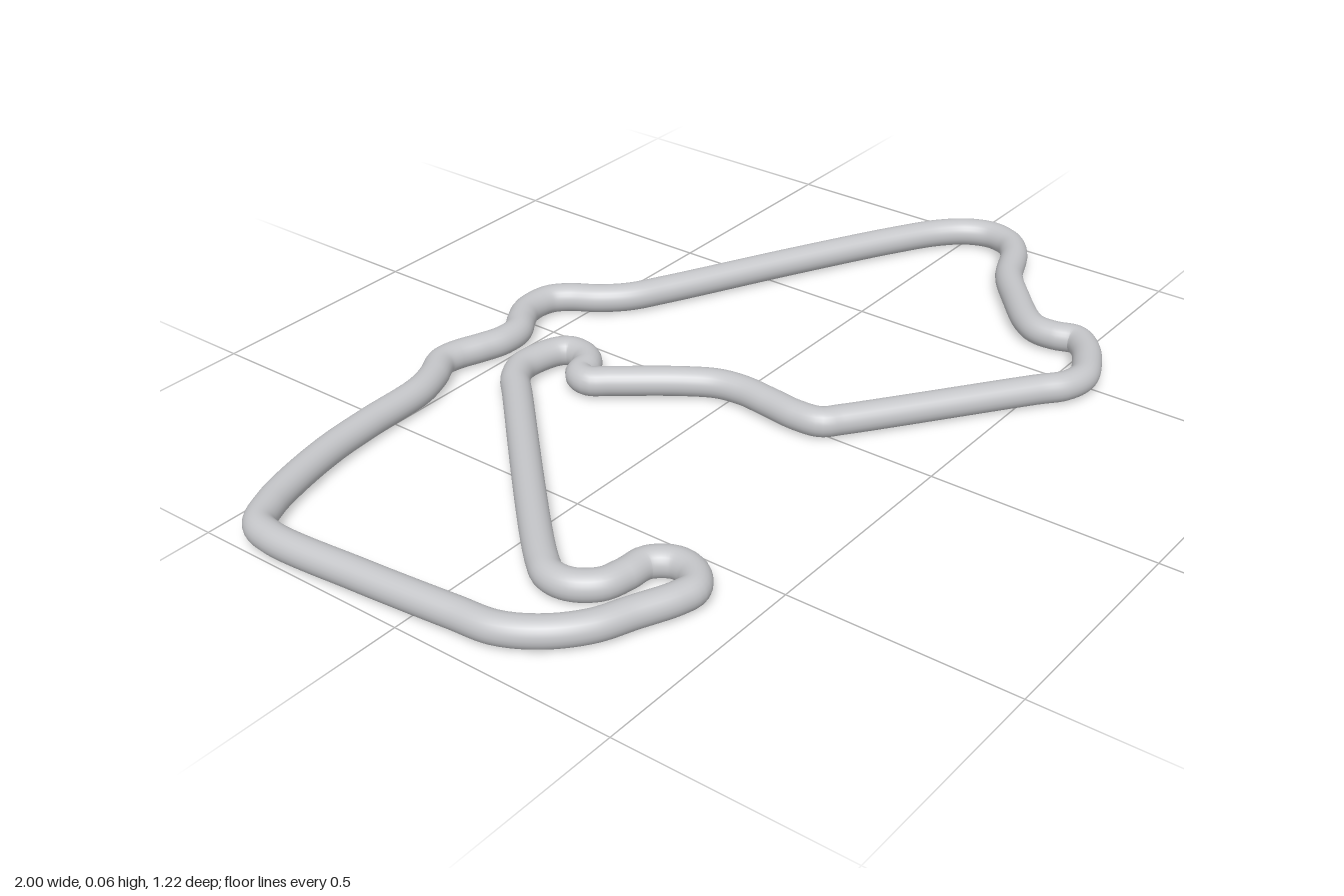
import * as THREE from 'three';

const RADIUS = 0.032;

// Centre line of the circuit as [x, z], clockwise from the left corner
const CENTRE_LINE = [
  // left corner and the long back edge
  [-0.968, -0.35], [-0.952, -0.405], [-0.89, -0.442], [-0.8, -0.471], [-0.676, -0.497],
  [-0.558, -0.508], [-0.41, -0.516], [-0.345, -0.537], [-0.29, -0.565], [-0.25, -0.562],
  [-0.19, -0.54], [-0.14, -0.525], [-0.088, -0.528], [-0.045, -0.555], [-0.01, -0.574],
  [0.03, -0.58], [0.072, -0.572], [0.105, -0.543], [0.142, -0.484], [0.19, -0.434],
  // diagonal straight and right corner
  [0.27, -0.388], [0.564, -0.238], [0.8, -0.11], [0.9, -0.045], [0.95, 0.01],
  [0.968, 0.067], [0.95, 0.125], [0.906, 0.163], [0.8, 0.211], [0.714, 0.28],
  // front chicane and front corner
  [0.634, 0.355], [0.612, 0.393], [0.612, 0.437], [0.624, 0.484], [0.596, 0.521],
  [0.543, 0.554], [0.484, 0.575], [0.43, 0.563], [0.377, 0.521],
  // inner run back to the hook
  [0.03, 0.262], [-0.003, 0.233], [-0.011, 0.179], [-0.003, 0.104], [0.004, 0.03],
  [-0.005, -0.03], [-0.04, -0.094], [-0.131, -0.217], [-0.162, -0.26], [-0.152, -0.291],
  [-0.115, -0.302], [-0.088, -0.329], [-0.083, -0.372], [-0.104, -0.396], [-0.163, -0.412],
  [-0.206, -0.411], [-0.249, -0.388], [-0.291, -0.345],
  // inner diagonal, hairpin and left edge
  [-0.719, 0.104], [-0.746, 0.147], [-0.744, 0.195], [-0.71, 0.239], [-0.66, 0.254],
  [-0.607, 0.262], [-0.575, 0.305], [-0.583, 0.352], [-0.62, 0.382], [-0.66, 0.376],
  [-0.741, 0.34], [-0.815, 0.307], [-0.88, 0.249], [-0.922, 0.174], [-0.933, 0.083],
  [-0.954, -0.131],
];

export function createModel() {
  const group = new THREE.Group();
  group.name = 'circuit';

  const grey = new THREE.MeshStandardMaterial({ color: 0xc4c5c8 });
  grey.name = 'light grey';

  // one closed round tube swept along the centre line
  const points = CENTRE_LINE.map(([x, z]) => new THREE.Vector3(x, RADIUS, z));
  const curve = new THREE.CatmullRomCurve3(points, true, 'centripetal');
  curve.arcLengthDivisions = 1500;
  const track = new THREE.Mesh(new THREE.TubeGeometry(curve, 700, RADIUS, 24, true), grey);
  track.name = 'track';
  group.add(track);

  return group;
}
